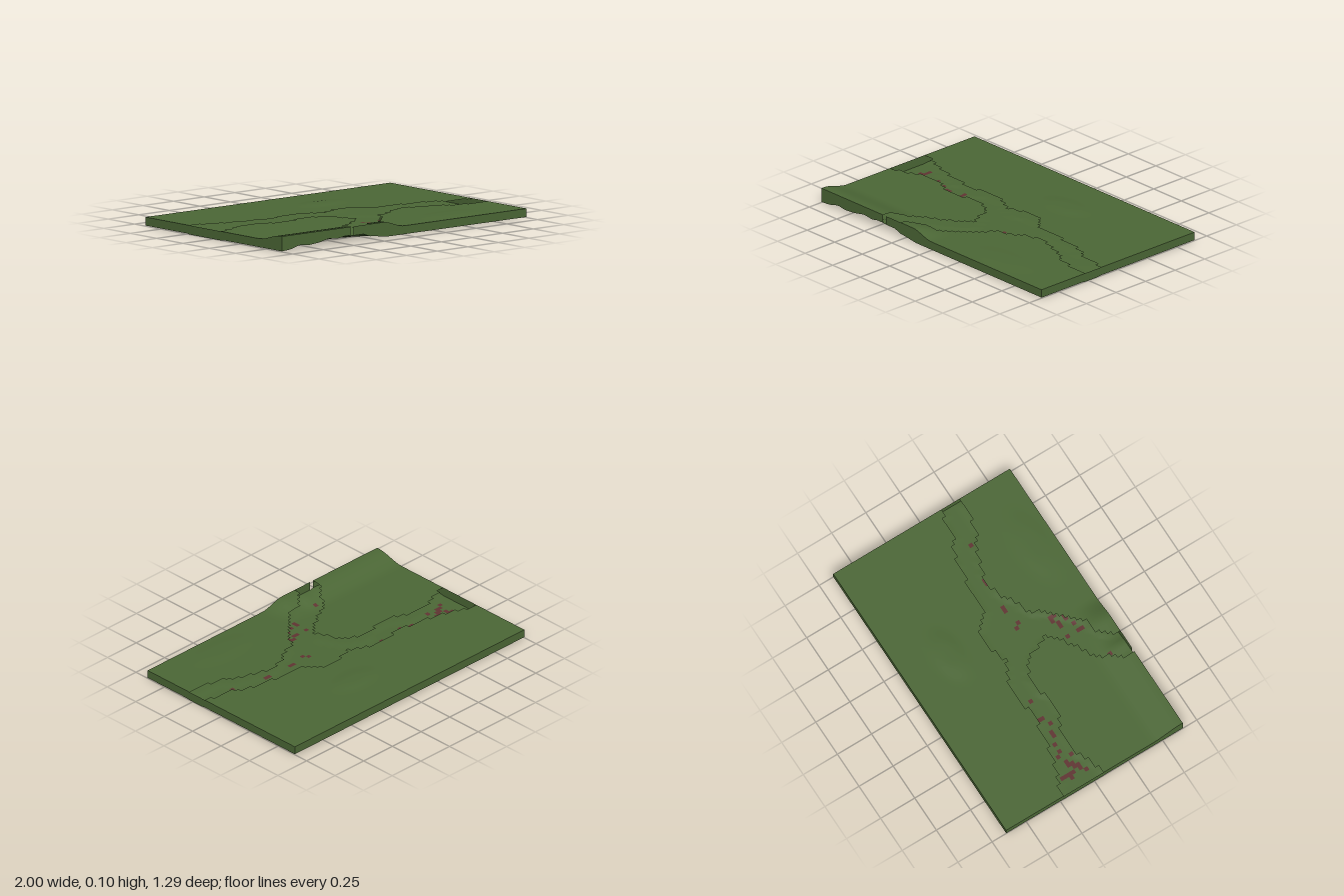
import * as THREE from 'three';

const NX = 75, NZ = 49, DEPTH = 1.294;
const gx = i => -1 + (2 * i) / NX;
const gz = j => -DEPTH / 2 + (DEPTH * j) / NZ;
const smooth = THREE.MathUtils.smoothstep;

// Outline of the forked channel, in hundredths (x, z)
const CHANNEL = [
  -101, -24, -95, -23, -90, -20, -82, -17, -71, -14, -64, -11, -56, -13, -50, -8, -39, -9, -37, -13, -21, -13, -12, -8,
  -6, -5, 1, -6, 3, -8, 20, -8, 25, -2, 31, 2, 62, 3, 65, 5, 74, 6, 79, 12, 94, 12, 96, 15, 101, 15,
  101, 28, 94, 27, 76, 26, 70, 20, 62, 17, 48, 13, 40, 13, 33, 15, 24, 21, 14, 24, 10, 31, 4, 38, -5, 45, -10, 50,
  -20, 53, -26, 58, -28, 66,
  -44, 66, -43, 58, -39, 54, -35, 47, -30, 41, -20, 37, -11, 30, -4, 23, -8, 18, -10, 9, -17, 4, -24, 0, -34, 1,
  -37, 5, -51, 5, -58, 1, -64, -2, -78, -2, -82, 1, -92, 4, -101, 8,
];
// Scattered red patches on the channel bed, in hundredths (x, z)
const PATCHES = [
  -88, -17, -88, -14, -91, -10, -88, -11, -88, -7, -83, -7, -80, -7, -83, -4, -88, -2, -86, -2, -86, -4, -91, 1,
  -78, -3, -75, -11, -72, -9, -67, -9, -61, -4, -59, -4, -53, -2, -48, -9, -48, -6, -48, -4, -35, -4,
  11, 12, 13, 17, 24, 12, 27, 12, 45, 12, 48, 12, 72, 19, -11, 37, 3, 35, 5, 35, 5, 38, 0, 38, -3, 38, 3, 41, 0, 41,
  -11, 45, -11, 48, -5, 45, -35, 53,
];
// Lower rim of the raised front bank: x in hundredths, lift in thousandths
const RIM = [-100, 0, -93, 4, -85, 25, -79, 15, -70, 22, -61, 40, -54, 30, -49, 40, -33, 40, -27, 17, -20, 8, -14, 0, 100, 0];

function inChannel(x, z) {
  let inside = false;
  const n = CHANNEL.length;
  for (let a = 0, b = n - 2; a < n; b = a, a += 2) {
    const xa = CHANNEL[a] / 100, za = CHANNEL[a + 1] / 100;
    const xb = CHANNEL[b] / 100, zb = CHANNEL[b + 1] / 100;
    if (za > z !== zb > z && x < ((xb - xa) * (z - za)) / (zb - za) + xa) inside = !inside;
  }
  return inside;
}
const cellInChannel = (i, j) => inChannel(gx(i + 0.5), gz(j + 0.5));

const patchCells = new Set();
for (let k = 0; k < PATCHES.length; k += 2) {
  const i = Math.floor(((PATCHES[k] / 100 + 1) * NX) / 2);
  const j = Math.floor(((PATCHES[k + 1] / 100 + DEPTH / 2) * NZ) / DEPTH);
  patchCells.add(i + j * NX);
}
const isPatch = (i, j) => patchCells.has(i + j * NX);

// Low, rounded swellings of the field
function swell(x, z, cx, cz, rx, rz, h) {
  const d = Math.hypot((x - cx) / rx, (z - cz) / rz);
  return h * (1 - smooth(d, 0.3, 1));
}
const swells = (x, z) => swell(x, z, 0.17, -0.33, 0.23, 0.12, 0.006) + swell(x, z, 0.5, 0.5, 0.32, 0.14, 0.004);

function topHeight(x, z) {
  const bank = 0.04 * smooth(z, 0.43, 0.63) * (1 - smooth(x, -0.17, 0));
  return 0.057 + bank + swells(x, z);
}

function floorHeight(x, z) {
  let lift = 0;
  for (let k = 0; k < RIM.length - 2; k += 2) {
    const a = RIM[k] / 100, b = RIM[k + 2] / 100;
    if (x >= a && x <= b) lift = THREE.MathUtils.lerp(RIM[k + 1], RIM[k + 3], (x - a) / (b - a)) / 1000;
  }
  const base = inChannel(x, z) ? 0 : 0.004;
  return base + swells(x, z) + lift * smooth(z, 0.47, DEPTH / 2);
}

function build(positions, index) {
  const g = new THREE.BufferGeometry();
  g.setAttribute('position', new THREE.Float32BufferAttribute(positions, 3));
  g.setIndex(index);
  g.computeVertexNormals();
  return g;
}

// Height sheet made of the grid cells that pass the test
function sheet(height, keep, up) {
  const pos = [], index = [];
  for (let j = 0; j <= NZ; j++)
    for (let i = 0; i <= NX; i++) pos.push(gx(i), height(gx(i), gz(j)), gz(j));
  for (let j = 0; j < NZ; j++)
    for (let i = 0; i < NX; i++) {
      if (!keep(i, j)) continue;
      const a = i + j * (NX + 1), b = a + 1, c = a + NX + 1, d = c + 1;
      if (up) index.push(a, c, b, b, c, d);
      else index.push(a, b, c, b, d, c);
    }
  return build(pos, index);
}

// Upright wall along one edge, from floor to top
function wall(count, point, skip) {
  const pos = [], index = [];
  for (let k = 0; k <= count; k++) {
    const [x, z] = point(k);
    pos.push(x, floorHeight(x, z), z, x, topHeight(x, z), z);
    if (k < count && k !== skip) {
      const a = 2 * k;
      index.push(a, a + 2, a + 1, a + 1, a + 2, a + 3);
    }
  }
  return build(pos, index);
}

export function createModel() {
  const grass = new THREE.MeshStandardMaterial({ color: 0x4c6836, side: THREE.DoubleSide });
  grass.name = 'grass green';
  const red = new THREE.MeshStandardMaterial({ color: 0x603432, side: THREE.DoubleSide });
  red.name = 'earth red';

  const group = new THREE.Group();
  group.name = 'terrainTile';
  const add = (name, geometry, material) => {
    const mesh = new THREE.Mesh(geometry, material);
    mesh.name = name;
    group.add(mesh);
  };

  // Field with the channel cut out, and the bed below it
  add('field', sheet(topHeight, (i, j) => !cellInChannel(i, j), true), grass);
  add('channelBed', sheet(floorHeight, (i, j) => !isPatch(i, j), false), grass);
  add('redPatches', sheet(floorHeight, isPatch, false), red);

  // Outer walls; the front one has a one-cell notch beside the channel mouth
  const h = DEPTH / 2;
  add('frontWall', wall(NX, k => [gx(k), h], 21), grass);
  add('backWall', wall(NX, k => [gx(NX - k), -h], -1), grass);
  add('leftWall', wall(NZ, k => [1, gz(NZ - k)], -1), grass);
  add('rightWall', wall(NZ, k => [-1, gz(k)], -1), grass);
  return group;
}
